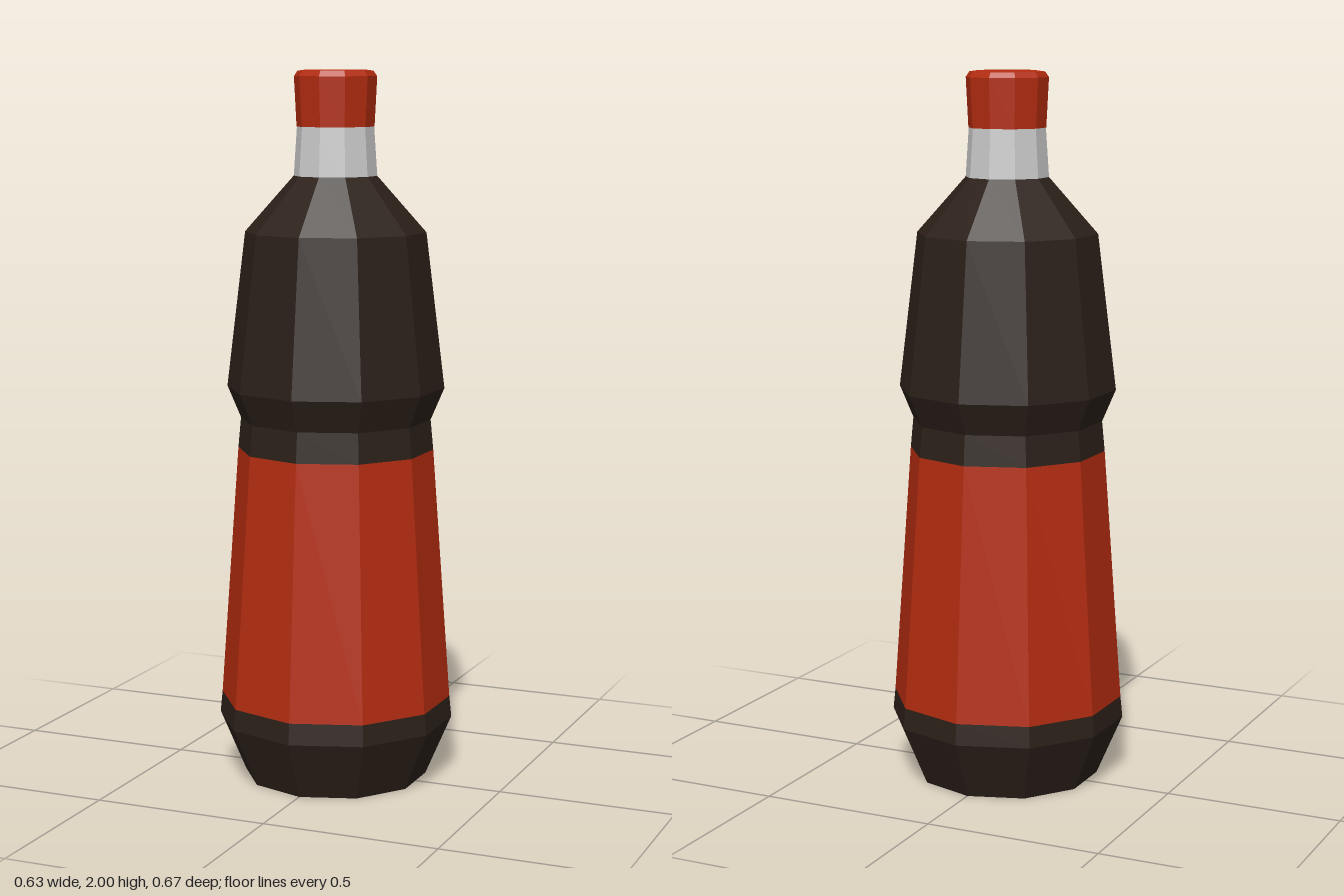
import * as THREE from 'three';

const SIDES = 10;
const material = (color) => new THREE.MeshStandardMaterial({ color, flatShading: true });

// Ten-sided turned part from [radius, height] pairs, listed bottom to top
function turned(name, profile, mat) {
  const points = profile.map(([r, y]) => new THREE.Vector2(r, y));
  const mesh = new THREE.Mesh(new THREE.LatheGeometry(points, SIDES), mat);
  mesh.name = name;
  return mesh;
}

export function createModel() {
  const group = new THREE.Group();
  group.name = 'bottle';
  const dark = material(0x2c2019);
  const red = material(0xb42c10);
  const glass = material(0xcccccc);

  group.add(
    // Closed foot, flaring up to the label
    turned('base', [[0, 0], [0.26, 0], [0.333, 0.17], [0.327, 0.23]], dark),
    // Tapered wrap-around label
    turned('label', [[0.327, 0.23], [0.276, 0.945]], red),
    // Waist, bulge and shoulder
    turned('upperBody', [[0.276, 0.945], [0.268, 1.03], [0.306, 1.12], [0.253, 1.555], [0.116, 1.71]], dark),
    // Clear neck
    turned('neck', [[0.116, 1.71], [0.107, 1.845]], glass),
    // Cap with a bevelled rim, closed below and above
    turned('cap', [[0, 1.845], [0.108, 1.845], [0.115, 1.982], [0.105, 1.997], [0.083, 2], [0, 2]], red),
  );
  return group;
}
